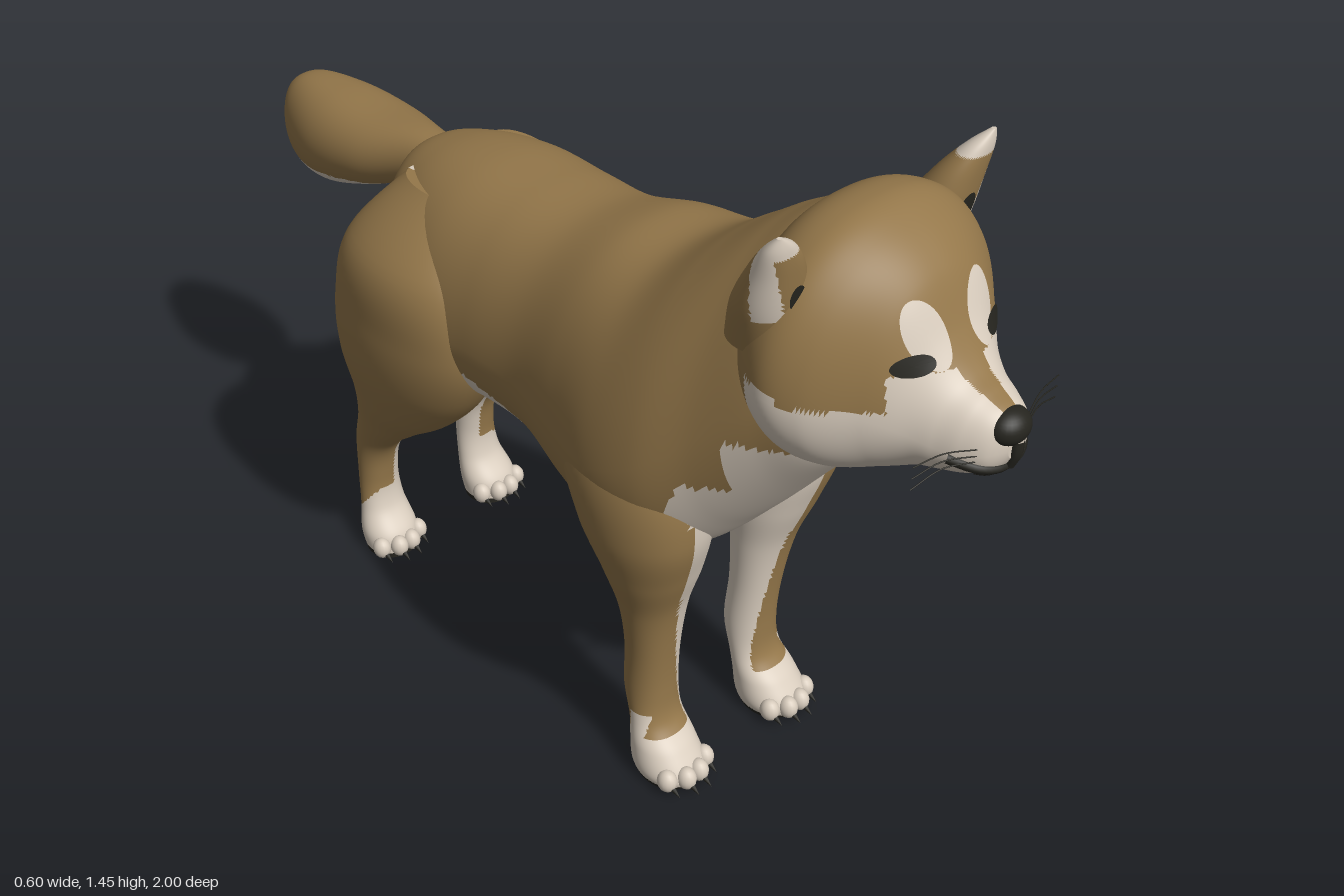
import * as THREE from 'three';

const mat = (name, color) => Object.assign(new THREE.MeshStandardMaterial({ color }), { name });

// Catmull-Rom interpolation of table rows, u in 0..1
function sampleRow(rows, u) {
  const n = rows.length - 1, i = Math.min(Math.floor(u * n), n - 1), f = u * n - i;
  const at = k => rows[Math.max(0, Math.min(n, k))];
  const [a, b, c, d] = [at(i - 1), at(i), at(i + 1), at(i + 2)];
  return b.map((_, k) => b[k] + 0.5 * f * (c[k] - a[k] + f * (2 * a[k] - 5 * b[k] + 4 * c[k] - d[k]
    + f * (3 * (b[k] - c[k]) + d[k] - a[k]))));
}

const bulge = c => Math.sign(c) * Math.abs(c) ** 0.85;

// Upright ring across z: row = [z, top, bottom, halfWidth]; widest at a share of the height
const zRing = share => ([z, top, bottom, w], c, s) => {
  const mid = bottom + (top - bottom) * share;
  return [w * bulge(c), mid + (s > 0 ? top - mid : mid - bottom) * s, z];
};
// Level ring across y: row = [y, centreX, radiusX, zFront, zBack]; side mirrors it
const yRing = side => ([y, x, r, zf, zb], c, s) =>
  [side * (x + r * bulge(c)), y, (zf + zb) / 2 + (zf - zb) / 2 * s];

// Skin through the rings; paint(x, y, z) picks a material index for each face
function loft(name, rows, ring, mats, paint, nu, nv) {
  const pos = [], tris = [];
  for (let i = 0; i <= nu; i++) {
    const row = sampleRow(rows, i / nu);
    for (let j = 0; j < nv; j++) {
      const t = j / nv * Math.PI * 2;
      pos.push(...ring(row, Math.cos(t), Math.sin(t)));
    }
  }
  for (let i = 0; i < nu; i++) for (let j = 0; j < nv; j++) {
    const a = i * nv + j, b = i * nv + (j + 1) % nv;
    tris.push([a, b, a + nv], [b, b + nv, a + nv]);
  }
  // End caps with their own vertices
  for (const [start, flip] of [[0, true], [nu * nv, false]]) {
    const base = pos.length / 3, m = [0, 0, 0];
    for (let j = 0; j < nv; j++) for (let k = 0; k < 3; k++) {
      const v = pos[(start + j) * 3 + k];
      pos.push(v);
      m[k] += v / nv;
    }
    pos.push(...m);
    for (let j = 0; j < nv; j++) {
      const a = base + j, b = base + (j + 1) % nv;
      tris.push(flip ? [b, a, base + nv] : [a, b, base + nv]);
    }
  }
  // Sort faces by colour and turn them outward
  const lists = mats.map(() => []);
  let volume = 0;
  for (const t of tris) {
    const [a, b, c] = t.map(i => new THREE.Vector3().fromArray(pos, i * 3));
    volume += a.dot(b.clone().cross(c));
    const m = a.add(b).add(c).divideScalar(3);
    lists[paint(m.x, m.y, m.z)].push(t);
  }
  if (volume < 0) tris.forEach(t => t.reverse());
  const g = new THREE.BufferGeometry();
  g.setAttribute('position', new THREE.Float32BufferAttribute(pos, 3));
  g.setIndex(lists.flat(2));
  let start = 0;
  lists.forEach((l, k) => { g.addGroup(start, l.length * 3, k); start += l.length * 3; });
  g.computeVertexNormals();
  const mesh = new THREE.Mesh(g, mats);
  mesh.name = name;
  return mesh;
}

// Point on a part's surface as met from the front
function onFront(target, x, y, lift) {
  const ray = new THREE.Raycaster(new THREE.Vector3(x, y, 3), new THREE.Vector3(0, 0, -1));
  const hit = ray.intersectObject(target)[0];
  return new THREE.Vector3(x, y, (hit ? hit.point.z : 0.66) + lift);
}

// Thin oval patch that follows the surface
function patch(name, target, material, x, y, rx, ry, tilt, lift) {
  const g = new THREE.RingGeometry(0.001, 1, 36, 6), p = g.attributes.position;
  for (let i = 0; i < p.count; i++) {
    const a = p.getX(i) * rx, b = p.getY(i) * ry, c = Math.cos(tilt), s = Math.sin(tilt);
    p.setXYZ(i, ...onFront(target, x + a * c - b * s, y + a * s + b * c, lift));
  }
  g.computeVertexNormals();
  const mesh = new THREE.Mesh(g, material);
  mesh.name = name;
  return mesh;
}

function tube(name, points, radius, material) {
  const mesh = new THREE.Mesh(new THREE.TubeGeometry(new THREE.CatmullRomCurve3(points), 24, radius, 8), material);
  mesh.name = name;
  return mesh;
}

// Leg with dark sole, toes and claws
function buildLeg(name, side, rows, toeZ, fur, pale) {
  const leg = new THREE.Group();
  leg.name = name;
  leg.add(loft('limb', rows, yRing(side), fur, (x, y, z) => y < 0.012 ? 2 : pale(Math.abs(x), y, z) ? 1 : 0, 90, 56));
  for (let k = 0; k < 4; k++) {
    const x = side * (0.146 + (k - 1.5) * 0.034), z = toeZ - (k % 3 ? 0 : 0.02);
    const toe = new THREE.Mesh(new THREE.SphereGeometry(0.022, 16, 12), fur[1]);
    toe.name = 'toe';
    toe.scale.set(0.9, 1.15, 1);
    toe.position.set(x, 0.031, z);
    const claw = new THREE.Mesh(new THREE.ConeGeometry(0.009, 0.034, 10), fur[2]);
    claw.name = 'claw';
    claw.rotation.x = Math.PI / 2 + 0.45;
    claw.position.set(x, 0.018, z + 0.023);
    leg.add(toe, claw);
  }
  return leg;
}

export function createModel() {
  const dog = new THREE.Group();
  dog.name = 'dog';
  const tan = mat('tanFur', 0x94774a), cream = mat('creamFur', 0xd8ccbd), dark = mat('darkSkin', 0x25241e);
  const fur = [tan, cream, dark];

  // Torso and neck, with pale chest and belly
  const torsoRows = [
    [-0.55, 0.93, 0.8, 0.02], [-0.5, 1.025, 0.67, 0.135], [-0.4, 1.07, 0.6, 0.205],
    [-0.27, 1.093, 0.58, 0.24], [-0.12, 1.098, 0.6, 0.235], [0.02, 1.107, 0.595, 0.235],
    [0.16, 1.15, 0.548, 0.265], [0.29, 1.17, 0.54, 0.295], [0.4, 1.245, 0.57, 0.285],
    [0.5, 1.32, 0.68, 0.24], [0.6, 1.37, 0.81, 0.2], [0.67, 1.28, 0.9, 0.16], [0.71, 1.15, 0.95, 0.09]];
  dog.add(loft('torso', torsoRows, zRing(0.42), fur, (x, y, z) => {
    const w = Math.abs(x);
    if (z > 0.25) return (y < 0.6 && w < 0.15) || (z > 0.4 && y < 0.62 && w < 0.2)
      || (y < 0.84 && z > 0.43 && w < 0.24) || (y < 0.97 && z > 0.55 && w < 0.215) ? 1 : 0;
    if (z > -0.14) return y < 0.6 + (0.25 - z) * 0.35 ? 1 : 0;
    if (z > -0.22) return y < 0.74 + (z + 0.14) * 2 ? 1 : 0;
    return y < 0.64 || (z < -0.38 && w < 0.1 && y < 0.92) ? 1 : 0;
  }, 120, 96));

  // Tail, pale underneath
  const tailRows = [
    [-0.38, 1.03, 0.92, 0.04], [-0.52, 1.035, 0.915, 0.06], [-0.66, 1.025, 0.855, 0.102],
    [-0.8, 1.023, 0.803, 0.108], [-0.92, 1.01, 0.795, 0.077], [-0.98, 0.97, 0.85, 0.037], [-1, 0.93, 0.92, 0.003]];
  dog.add(loft('tail', tailRows, zRing(0.5), fur, (x, y, z) => y < 0.885 + (z + 0.6) * 0.16 ? 1 : 0, 60, 64));

  // Head with muzzle, pale cheeks and a tan stripe on the bridge
  const headRows = [
    [0.5, 1.27, 1.1, 0.1], [0.58, 1.385, 1.015, 0.215], [0.66, 1.415, 0.963, 0.258], [0.73, 1.395, 0.955, 0.235],
    [0.8, 1.34, 0.98, 0.165], [0.85, 1.25, 1.005, 0.118], [0.89, 1.2, 1.017, 0.095],
    [0.93, 1.178, 1.03, 0.078], [0.965, 1.16, 1.05, 0.055], [0.985, 1.13, 1.08, 0.02]];
  const head = loft('head', headRows, zRing(0.42), fur, (x, y, z) => {
    const w = Math.abs(x);
    if (y > 1.15 && w < Math.min(0.035, 0.012 + (y - 1.15) * 0.35)) return 0;
    const edge = w < 0.135 ? 1.21 : z > 0.7 ? 1.145 : 1.165;
    return z > 0.63 - Math.max(0, 1.05 - y) * 0.3 && y < edge ? 1 : 0;
  }, 120, 110);
  dog.add(head);

  // Nose
  const nose = new THREE.Mesh(new THREE.SphereGeometry(1, 28, 18), dark);
  nose.name = 'nose';
  nose.scale.set(0.042, 0.032, 0.035);
  nose.position.set(0, 1.132, 0.963);
  dog.add(nose);

  // Mouth lines curve up to the corners
  const lip = (name, half, y, rise, radius) => {
    const points = [-1, -0.67, -0.33, 0, 0.33, 0.67, 1].map(t => onFront(head, t * half, y + rise * t * t, -0.002));
    dog.add(tube(name, points, radius, dark));
  };
  lip('mouth', 0.083, 1.062, 0.02, 0.01);
  lip('lowerLip', 0.055, 1.049, 0.013, 0.007);
  dog.add(tube('philtrum', [1.115, 1.09, 1.062].map(y => onFront(head, 0, y, -0.002)), 0.013, dark));

  const earRows = [
    [1.2, 0.18, 0.06, 0.66, 0.54], [1.29, 0.197, 0.066, 0.68, 0.57], [1.37, 0.216, 0.051, 0.69, 0.615],
    [1.42, 0.235, 0.031, 0.693, 0.652], [1.45, 0.25, 0.004, 0.69, 0.682]];
  const frontLegRows = [
    [0.95, 0.17, 0.06, 0.37, 0.23], [0.8, 0.182, 0.11, 0.45, 0.16], [0.66, 0.176, 0.116, 0.463, 0.195],
    [0.54, 0.162, 0.098, 0.432, 0.247], [0.43, 0.151, 0.073, 0.395, 0.274], [0.31, 0.144, 0.058, 0.376, 0.278],
    [0.2, 0.14, 0.056, 0.37, 0.272], [0.125, 0.141, 0.057, 0.38, 0.293], [0.075, 0.145, 0.065, 0.425, 0.301],
    [0.03, 0.147, 0.069, 0.458, 0.307], [0, 0.147, 0.06, 0.45, 0.32]];
  const hindLegRows = [
    [1.03, 0.1, 0.05, -0.25, -0.43], [0.9, 0.155, 0.12, -0.155, -0.525], [0.75, 0.172, 0.12, -0.13, -0.566],
    [0.62, 0.169, 0.113, -0.175, -0.575], [0.5, 0.157, 0.091, -0.275, -0.565], [0.39, 0.146, 0.064, -0.41, -0.588],
    [0.29, 0.14, 0.048, -0.515, -0.62], [0.19, 0.14, 0.046, -0.543, -0.62], [0.11, 0.141, 0.052, -0.535, -0.611],
    [0.05, 0.145, 0.063, -0.493, -0.605], [0, 0.145, 0.058, -0.485, -0.595]];

  for (const [label, side] of [['left', 1], ['right', -1]]) {
    // Brow spot, eye, whiskers
    dog.add(patch(label + 'Brow', head, cream, side * 0.065, 1.265, 0.037, 0.055, -side * 0.25, 0.003));
    dog.add(patch(label + 'Eye', head, dark, side * 0.097, 1.225, 0.034, 0.017, -side * 0.12, 0.006));
    for (let k = 0; k < 3; k++) dog.add(tube(label + 'Whisker', [
      onFront(head, side * 0.06, 1.085 + k * 0.012, -0.003),
      new THREE.Vector3(side * 0.12, 1.09 + k * 0.015, 0.935),
      new THREE.Vector3(side * 0.18, 1.075 + k * 0.022, 0.925)], 0.0012, dark));

    // Ear with pale tip and rim
    const ear = loft(label + 'Ear', earRows, yRing(side), fur, (x, y, z) => {
      const out = Math.abs(x) - (0.2 + (y - 1.3) * 0.33);
      return y > 1.41 || (y > 1.28 && out > 0.022 && z > 0.645) ? 1 : 0;
    }, 40, 48);
    dog.add(ear, patch(label + 'EarHollow', ear, dark, side * 0.2, 1.32, 0.018, 0.028, -side * 0.3, 0.004));

    // Legs, pale on the inside and at the paws
    dog.add(buildLeg(label + 'FrontLeg', side, frontLegRows, 0.452, fur, (w, y, z) =>
      y < (Math.abs(z - 0.343) < 0.022 ? 0.145 : 0.1) || w < 0.11 + (y - 0.2) * 0.15));
    dog.add(buildLeg(label + 'HindLeg', side, hindLegRows, -0.488, fur, (w, y, z) =>
      y < Math.min(0.2, 0.07 + (z + 0.615) * 1.3) || w < (y < 0.45 ? 0.125 : 0.11)));
  }
  return dog;
}
